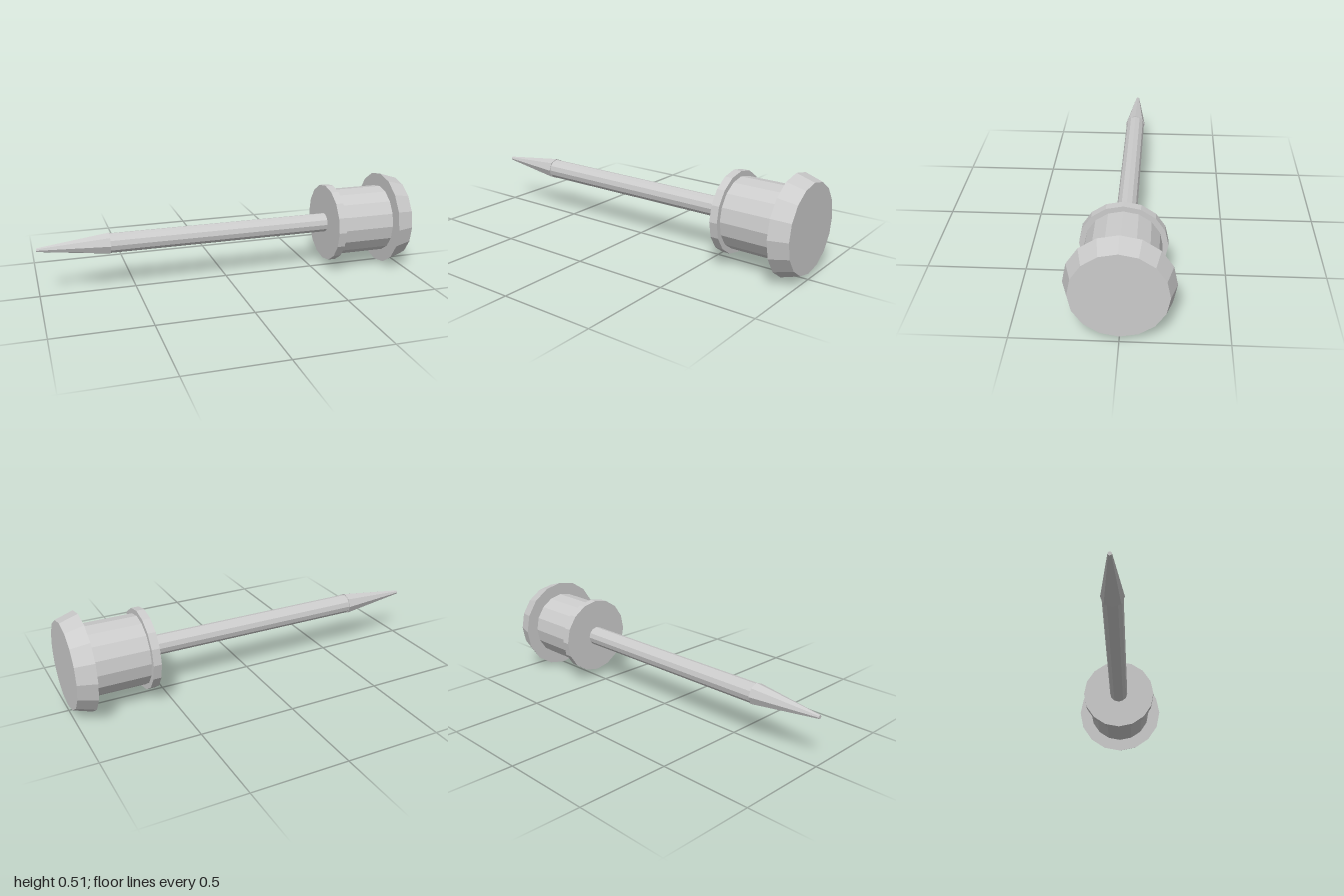
import * as THREE from 'three';

export function createModel() {
  const group = new THREE.Group();
  const material = new THREE.MeshStandardMaterial({ color: 0xcccccc, flatShading: true });
  const axisY = 0.256;

  // Faceted section lying along x, from x0 (radius r0) to x1 (radius r1)
  function section(name, x0, x1, r0, r1, sides) {
    const geometry = new THREE.CylinderGeometry(r1, r0, x1 - x0, sides);
    geometry.rotateZ(-Math.PI / 2);
    const mesh = new THREE.Mesh(geometry, material);
    mesh.name = name;
    mesh.position.set((x0 + x1) / 2, axisY, 0);
    group.add(mesh);
  }

  // Pointed end and shaft
  section('tip', -1, -0.63, 0.01, 0.058, 8);
  section('shaft', -0.635, 0.58, 0.052, 0.052, 12);

  // Handle: collar, barrel and bevelled cap
  section('collar', 0.573, 0.615, 0.211, 0.211, 16);
  section('barrel', 0.61, 0.91, 0.184, 0.184, 16);
  section('cap', 0.905, 1, 0.255, 0.225, 16);

  return group;
}
